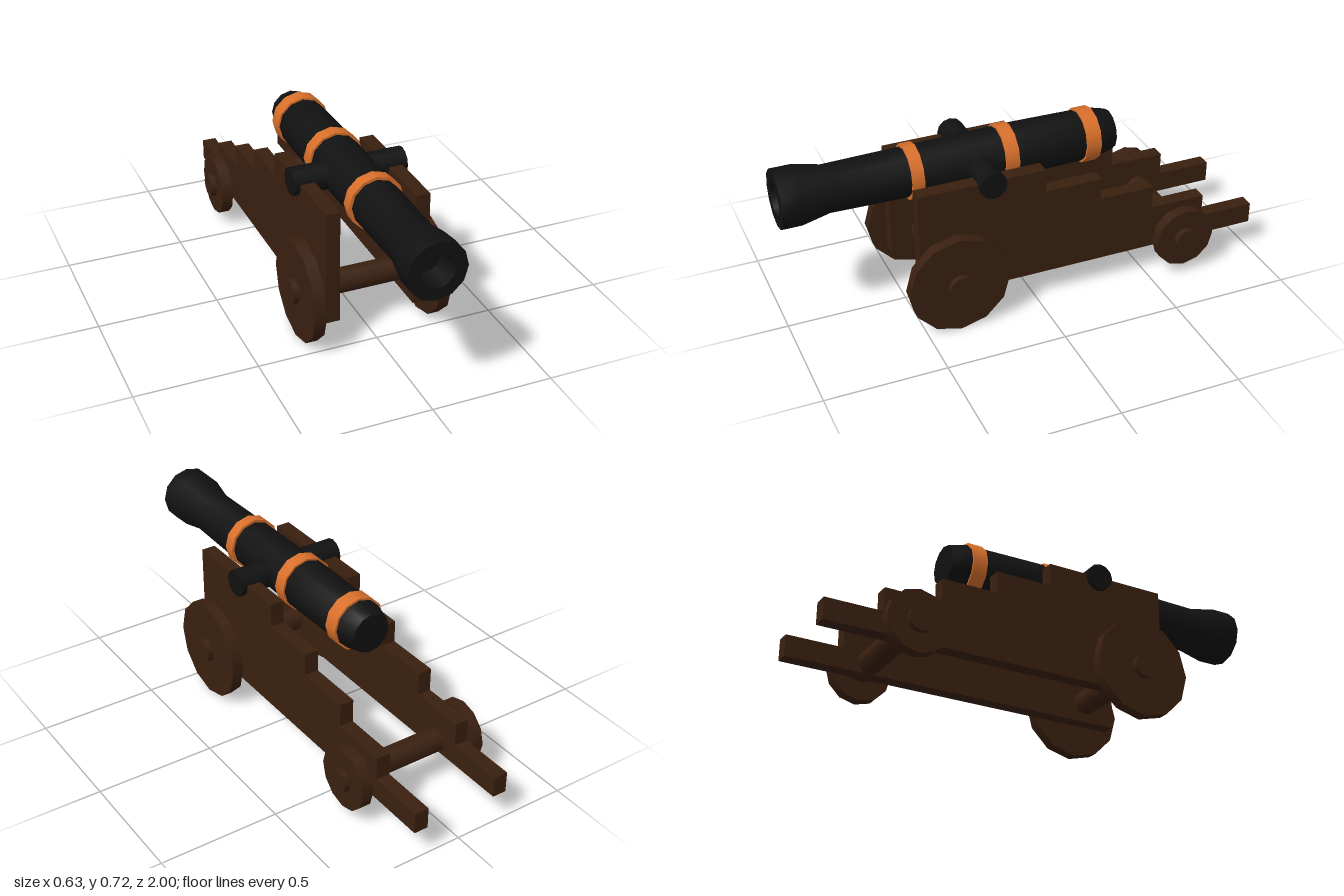
import * as THREE from 'three';
import { toCreasedNormals } from 'three/addons/utils/BufferGeometryUtils.js';

const SIDES = 12;
const OFFSET = -0.003; // carriage and barrel sit a hair off centre
const BARREL_Y = 0.602;

const wood = new THREE.MeshStandardMaterial({ color: 0x3a2010 });
const iron = new THREE.MeshStandardMaterial({ color: 0x111111 });
const copper = new THREE.MeshStandardMaterial({ color: 0xd9702b });

function addMesh(parent, name, geometry, material, x, y, z) {
  const mesh = new THREE.Mesh(geometry, material);
  mesh.name = name;
  mesh.position.set(x, y, z);
  parent.add(mesh);
  return mesh;
}

// Cylinder lying along x
function crossBar(radius, length) {
  return new THREE.CylinderGeometry(radius, radius, length, SIDES).rotateZ(Math.PI / 2);
}

// Solid turned around the z axis; profile is [radius, z] from back to front
function turned(profile) {
  const points = profile.map(([r, z]) => new THREE.Vector2(r, z));
  const geometry = new THREE.LatheGeometry(points, SIDES).rotateX(Math.PI / 2);
  return toCreasedNormals(geometry, THREE.MathUtils.degToRad(35));
}

// Stepped side plank, outlined as [z, y]
function cheekGeometry() {
  const outline = [[0.5, 0.125], [0.5, 0.61]];
  const steps = [[-0.035, 0.61], [-0.28, 0.51], [-0.52, 0.415], [-0.76, 0.315], [-1, 0.215]];
  steps.forEach(([z, y], i) => {
    outline.push([z, y], [z, i + 1 < steps.length ? steps[i + 1][1] : 0.125]);
  });
  const shape = new THREE.Shape(outline.map(([z, y]) => new THREE.Vector2(z, y)));
  return new THREE.ExtrudeGeometry(shape, { depth: 0.06, bevelEnabled: false })
    .translate(0, 0, -0.03)
    .rotateY(-Math.PI / 2);
}

export function createModel() {
  const model = new THREE.Group();
  model.name = 'cannon';

  // Barrel with flared muzzle and hollow bore
  const gun = new THREE.Group();
  gun.name = 'gun';
  gun.position.set(OFFSET, BARREL_Y, 0);
  model.add(gun);
  addMesh(gun, 'barrel', turned([
    [0, -0.412], [0.084, -0.412], [0.105, -0.33], [0.109, 0], [0.102, 0.45],
    [0.096, 0.8], [0.12, 0.915], [0.12, 1], [0.07, 1], [0.061, 0.9], [0, 0.9],
  ]), iron, 0, 0, 0);

  // Reinforcing bands
  for (const [z, radius, width] of [[0.455, 0.114, 0.05], [0.06, 0.117, 0.058], [-0.298, 0.114, 0.064]]) {
    const band = new THREE.CylinderGeometry(radius, radius, width, SIDES).rotateX(Math.PI / 2);
    addMesh(gun, 'band', band, copper, 0, 0, z);
  }

  // Trunnions resting on the cheeks
  addMesh(gun, 'trunnion', crossBar(0.057, 0.48), iron, 0, 0, 0.195);

  // Carriage cheeks
  const cheek = cheekGeometry();
  for (const side of [-1, 1]) {
    addMesh(model, side > 0 ? 'leftCheek' : 'rightCheek', cheek, wood, OFFSET + side * 0.187, 0, 0);
  }

  // Axles and wheels
  for (const [name, radius, y, z] of [['front', 0.212, 0.212, 0.36], ['rear', 0.131, 0.175, -0.645]]) {
    addMesh(model, name + 'Axle', crossBar(0.051, 0.628), wood, 0, y, z);
    const wheel = crossBar(radius, 0.048);
    for (const side of [-1, 1]) {
      addMesh(model, name + (side > 0 ? 'LeftWheel' : 'RightWheel'), wheel, wood, OFFSET / 2 + side * 0.265, y, z);
    }
  }

  return model;
}
